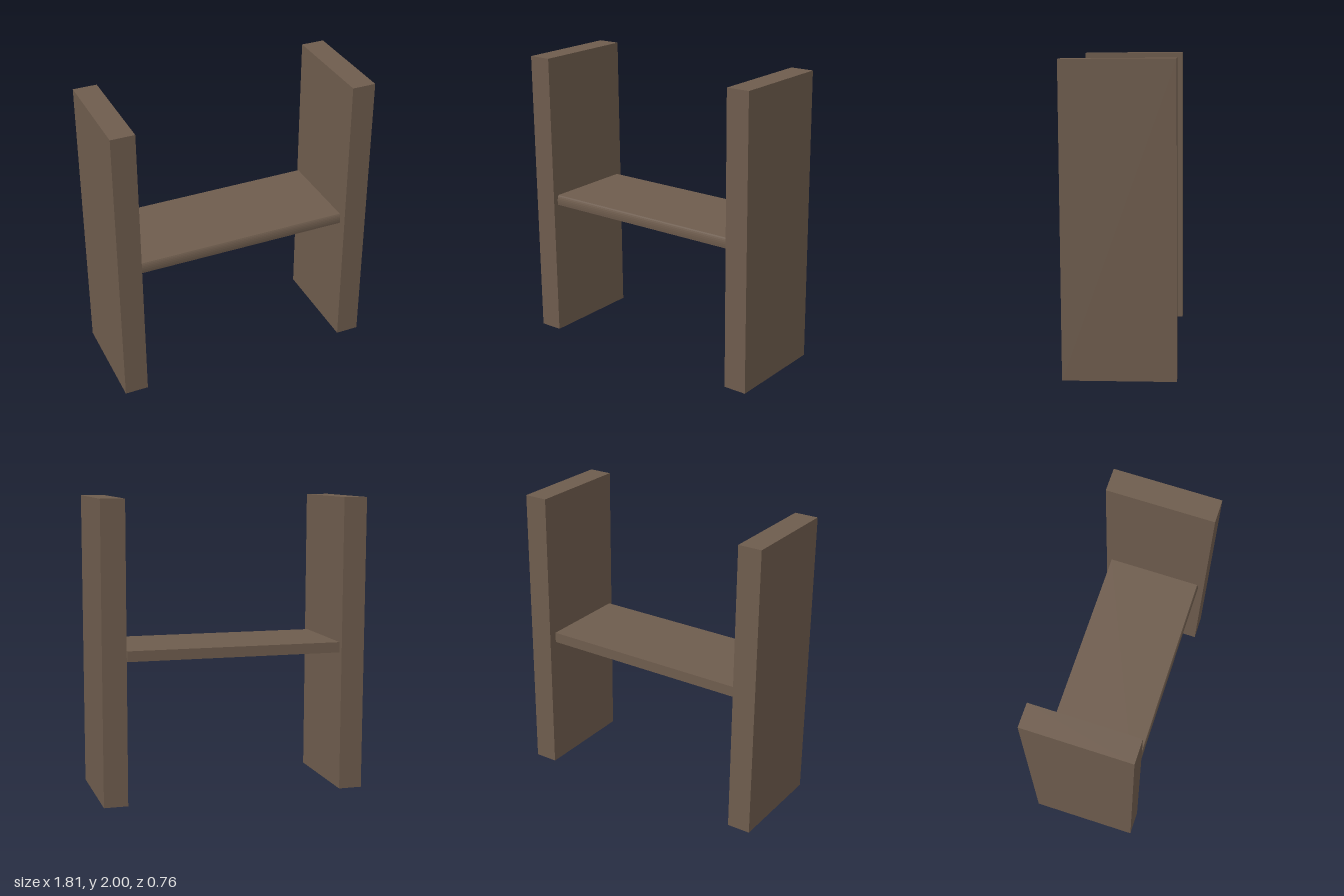
import * as THREE from 'three';

export function createModel() {
  const model = new THREE.Group();
  model.name = 'shelfUnit';
  const material = new THREE.MeshStandardMaterial({ color: 0x6e5c4d });

  // Slightly crooked assembly, turned about its middle
  const frame = new THREE.Group();
  frame.name = 'frame';
  frame.position.set(0, 1, -0.002);
  frame.rotation.set(0.0075, -0.0155, 0.005);
  model.add(frame);

  // Upright side panels
  function addPanel(name, x, y, height) {
    const panel = new THREE.Mesh(new THREE.BoxGeometry(0.16, height, 0.715), material);
    panel.name = name;
    panel.position.set(x, y, 0);
    frame.add(panel);
  }
  addPanel('rightPanel', -0.815, 0, 1.982);
  addPanel('leftPanel', 0.815, -0.002, 1.988);

  // Shelf board: side profile with a softly rounded front edge, extruded along x
  const length = 1.456;
  const profile = new THREE.Shape();
  profile.moveTo(-0.317, -0.035);
  profile.lineTo(0.319, -0.035);
  profile.quadraticCurveTo(0.327, 0.012, 0.311, 0.035);
  profile.lineTo(-0.317, 0.035);
  profile.closePath();
  const board = new THREE.ExtrudeGeometry(profile, { depth: length, bevelEnabled: false, curveSegments: 6 });
  board.translate(0, 0, -length / 2);
  board.rotateY(-Math.PI / 2);
  // Profile x now points to +z
  const shelf = new THREE.Mesh(board, material);
  shelf.name = 'shelf';
  shelf.position.set(-0.007, -0.017, 0);
  frame.add(shelf);

  return model;
}
